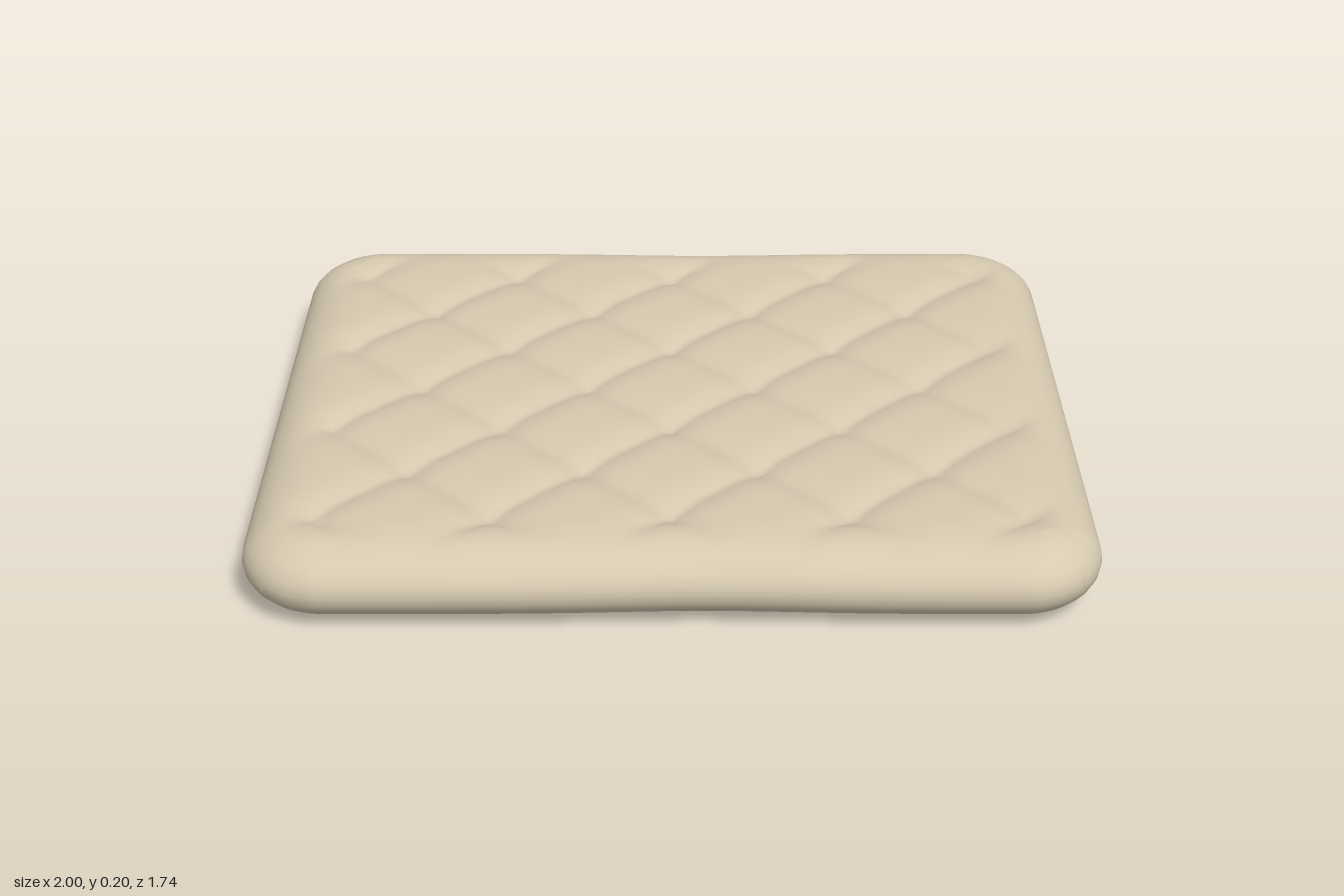
import * as THREE from 'three';
import { mergeGeometries, mergeVertices } from 'three/addons/utils/BufferGeometryUtils.js';

const HALF_X = 1, HALF_Z = 0.87, MID_Y = 0.1;
const CORNER = 0.2; // plan corner radius
const EDGE = 0.16; // width of the rolled edge
const SEGMENTS = 100;

// Spread grid lines evenly inside and by angle around the rolled edge
function gridLine(s, half) {
  const a = Math.abs(s), inner = 0.86;
  const d = a < inner
    ? (a / inner) * (half - EDGE)
    : half - EDGE + EDGE * Math.sin(((a - inner) / (1 - inner)) * Math.PI / 2);
  return Math.sign(s) * d;
}

// Depth of the diamond quilting: soft pillows, creases and deep tufts where they cross
function quiltDepth(x, z) {
  const u = x / 0.42 + z / 0.43, v = x / 0.42 - z / 0.43;
  const a = 1 - Math.abs(Math.cos(Math.PI * u));
  const b = 1 - Math.abs(Math.cos(Math.PI * v));
  return 0.018 * (a * a + b * b);
}

// One half of the cushion: side +1 is the quilted top, -1 the plain underside
function cushionHalf(side) {
  const geometry = new THREE.PlaneGeometry(2, 2, SEGMENTS, SEGMENTS).rotateX(-side * Math.PI / 2);
  const p = geometry.attributes.position;
  for (let i = 0; i < p.count; i++) {
    let x = gridLine(p.getX(i), HALF_X), z = gridLine(p.getZ(i), HALF_Z);
    const inset = Math.max(0, Math.min(HALF_X - Math.abs(x), HALF_Z - Math.abs(z)));

    // Round the plan corners
    const ox = Math.abs(x) - (HALF_X - CORNER), oz = Math.abs(z) - (HALF_Z - CORNER);
    if (ox > 0 && oz > 0) {
      const k = Math.max(ox, oz) / Math.hypot(ox, oz);
      x = Math.sign(x) * (HALF_X - CORNER + ox * k);
      z = Math.sign(z) * (HALF_Z - CORNER + oz * k);
    }

    // Rolled edge, then quilting on the top
    const q = 1 - Math.min(1, inset / EDGE);
    let y = MID_Y + side * MID_Y * Math.sqrt(Math.max(0, 1 - q * q));
    if (side > 0) y -= quiltDepth(x, z) * THREE.MathUtils.smoothstep(inset, 0.06, 0.2);

    // Slight waist on the front and back edges
    z *= 1 - 0.016 * Math.exp(-(((x - 0.08) / 0.3) ** 2));
    p.setXYZ(i, x, y, z);
  }
  geometry.deleteAttribute('uv');
  geometry.deleteAttribute('normal');
  return geometry;
}

export function createModel() {
  const fabric = new THREE.MeshStandardMaterial({ color: 0xd6c9b0 });
  fabric.name = 'beige fabric';

  const geometry = mergeVertices(mergeGeometries([cushionHalf(1), cushionHalf(-1)]), 1e-5);
  geometry.computeVertexNormals();

  const cushion = new THREE.Mesh(geometry, fabric);
  cushion.name = 'quiltedCushion';

  const model = new THREE.Group();
  model.name = 'seatCushion';
  model.add(cushion);
  return model;
}
